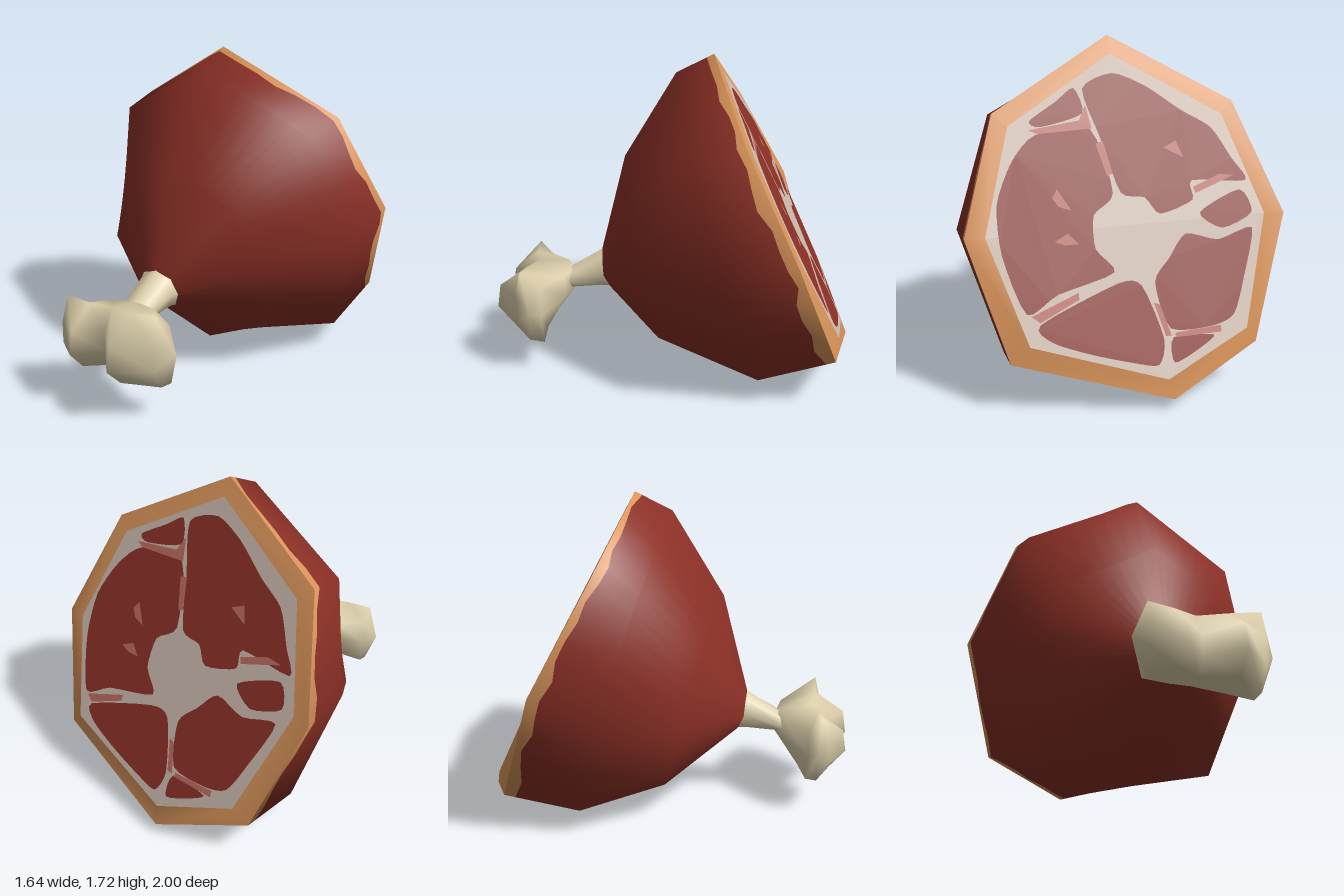
import * as THREE from 'three';
import { mergeVertices } from 'three/addons/utils/BufferGeometryUtils.js';

const mat = (name, color) => Object.assign(new THREE.MeshStandardMaterial({ color }), { name });
const V = (p) => new THREE.Vector3(...p);

// Skin closed rings of points together, ring after ring
function loft(rings) {
  const n = rings[0].length, index = [];
  for (let k = 0; k < rings.length - 1; k++) {
    for (let i = 0; i < n; i++) {
      const a = k * n + i, b = k * n + (i + 1) % n;
      index.push(a, a + n, b, b, a + n, b + n);
    }
  }
  const g = new THREE.BufferGeometry();
  g.setAttribute('position', new THREE.Float32BufferAttribute(rings.flat().flatMap((p) => [p.x, p.y, p.z]), 3));
  g.setIndex(index);
  g.computeVertexNormals();
  return g;
}

// Slanted plane of the cut
const cutZ = (y) => -0.64 + 0.482 * (y - 0.82);

// Flat plate lying on the cut, outlined in x and y, facing backwards
function cutPlate(points, lift, rounded) {
  const pts = points.map(([x, y]) => new THREE.Vector2(-x, y));
  let outline = pts;
  if (rounded) {
    const curve = new THREE.CatmullRomCurve3(pts.map((p) => new THREE.Vector3(p.x, p.y, 0)), true, 'catmullrom', 0.35);
    outline = curve.getPoints(pts.length * 4).slice(0, -1).map((p) => new THREE.Vector2(p.x, p.y));
  }
  const g = new THREE.ShapeGeometry(new THREE.Shape(outline));
  g.rotateY(Math.PI);
  const pos = g.attributes.position;
  for (let i = 0; i < pos.count; i++) pos.setZ(i, cutZ(pos.getY(i)) - lift);
  g.computeVertexNormals();
  return g;
}

export function createModel() {
  const meat = mat('meat red', 0x8b3026);
  const rind = mat('rind orange', 0xd9945a);
  const fat = mat('pale fat', 0xcbb9ad);
  const vein = mat('vein pink', 0xb86a60);
  const bone = mat('bone cream', 0xdccfab);

  const model = new THREE.Group();
  model.name = 'meatOnBone';
  const add = (name, geometry, material, parent = model) => {
    const mesh = new THREE.Mesh(geometry, material);
    mesh.name = name;
    parent.add(mesh);
  };

  // Eight-sided rings of the joint, from the cut rim forward to the bone
  const rim = [[0, 1.72, -0.2], [0.63, 1.38, -0.36], [0.82, 0.84, -0.62], [0.65, 0.27, -0.84],
    [-0.12, 0.06, -1], [-0.61, 0.23, -0.84], [-0.82, 0.84, -0.65], [-0.63, 1.38, -0.36]].map(V);
  const rings = [
    rim,
    [[0, 1.62, 0], [0.61, 1.32, -0.1], [0.81, 0.76, -0.24], [0.62, 0.14, -0.45],
      [-0.08, 0, -0.52], [-0.59, 0.14, -0.45], [-0.78, 0.8, -0.3], [-0.61, 1.32, -0.12]].map(V),
    [[0, 1.16, 0.28], [0.36, 0.98, 0.25], [0.44, 0.66, 0.22], [0.38, 0.25, 0.08],
      [0, 0.03, -0.08], [-0.38, 0.2, -0.02], [-0.58, 0.58, 0.06], [-0.4, 0.95, 0.18]].map(V),
    [[0, 0.61, 0.42], [0.09, 0.58, 0.41], [0.13, 0.5, 0.4], [0.09, 0.42, 0.37],
      [0, 0.39, 0.36], [-0.09, 0.42, 0.37], [-0.13, 0.5, 0.4], [-0.09, 0.58, 0.41]].map(V),
  ];
  const coarse = loft(rings).attributes.normal;
  const normals = rings.map((r, k) => r.map((_, i) => new THREE.Vector3().fromBufferAttribute(coarse, k * 8 + i)));

  // Finer rows so that the edge of the rind can be wavy
  const SUB = 6, N = 8 * SUB;
  const mix = (grid, k, t, j) => {
    const i = Math.floor(j / SUB), f = (j % SUB) / SUB, k2 = Math.min(k + 1, 3);
    const across = (r) => r[i].clone().lerp(r[(i + 1) % 8], f);
    return across(grid[k]).lerp(across(grid[k2]), t);
  };
  const wave = (j) => {
    const a = (j / N) * Math.PI * 2;
    return 0.16 + 0.04 * Math.sin(7 * a) + 0.04 * Math.sin(17 * a + 1);
  };
  const surface = (rows) => {
    const build = (grid) => rows.map(([k, wavy]) =>
      Array.from({ length: N }, (_, j) => mix(grid, k, wavy ? wave(j) : 0, j)));
    const g = loft(build(rings));
    const ns = build(normals).flat();
    ns.forEach((v, i) => { v.normalize(); g.attributes.normal.setXYZ(i, v.x, v.y, v.z); });
    return g;
  };
  add('rindBand', surface([[0, false], [0, true]]), rind);
  add('meatBody', surface([[0, true], [1, false], [2, false], [3, false]]), meat);

  // Cut face: rind lip, fat, red muscles and pink veins
  const cut = new THREE.Group();
  cut.name = 'cutFace';
  model.add(cut);
  const inner = [[0, 1.63], [0.56, 1.32], [0.72, 0.84], [0.56, 0.36], [-0.1, 0.15], [-0.54, 0.33], [-0.72, 0.84], [-0.56, 1.32]];
  add('rindLip', loft([inner.map(([x, y]) => new THREE.Vector3(x, y, cutZ(y))), rim]), rind, cut);
  add('fatDisc', cutPlate(inner, 0, false), fat, cut);

  const muscles = [
    [[0.165, 1.475], [0, 1.54], [-0.17, 1.47], [-0.34, 1.35], [-0.49, 1.26], [-0.58, 1.11], [-0.64, 1],
      [-0.35, 1.02], [-0.34, 0.93], [-0.16, 0.88], [-0.09, 0.96], [0.03, 0.99], [0.1, 1.24]],
    [[0.43, 1.275], [0.15, 1.29], [0.07, 0.99], [0.18, 0.9], [0.19, 0.75], [0.11, 0.64], [0.4, 0.57],
      [0.56, 0.5], [0.65, 0.76], [0.65, 0.98], [0.56, 1.16]],
    [[0.45, 1.34], [0.31, 1.42], [0.21, 1.48], [0.18, 1.36], [0.4, 1.31]],
    [[-0.37, 0.87], [-0.6, 0.96], [-0.65, 0.85], [-0.48, 0.79]],
    [[-0.09, 0.58], [-0.18, 0.68], [-0.28, 0.78], [-0.45, 0.74], [-0.64, 0.78], [-0.56, 0.56], [-0.48, 0.4],
      [-0.36, 0.36], [-0.14, 0.37]],
    [[0.5, 0.45], [0.1, 0.59], [-0.02, 0.57], [-0.1, 0.33], [-0.06, 0.22], [0.06, 0.24], [0.27, 0.3], [0.45, 0.37]],
    [[-0.15, 0.33], [-0.36, 0.32], [-0.28, 0.27], [-0.14, 0.22]],
  ];
  muscles.forEach((m, i) => add('muscle' + (i + 1), cutPlate(m, 0.004, true), meat, cut));

  const veins = [
    [[0.46, 1.3], [0.2, 1.33], [0.16, 1.4], [0.14, 1.29], [0.42, 1.28]],
    [[0.09, 1.23], [0.13, 1.22], [0.09, 1.07], [0.06, 1.08]],
    [[0.38, 0.99], [0.35, 1.03], [0.29, 0.93], [0.35, 0.95]],
    [[0.39, 0.8], [0.32, 0.83], [0.27, 0.78], [0.34, 0.78]],
    [[-0.22, 1.18], [-0.29, 1.21], [-0.32, 1.13], [-0.28, 1.15]],
    [[-0.35, 0.99], [-0.5, 1.04], [-0.58, 1.03], [-0.36, 0.96]],
    [[0.54, 0.49], [0.3, 0.57], [0.3, 0.54], [0.5, 0.46]],
    [[-0.07, 0.49], [-0.1, 0.48], [-0.14, 0.34], [-0.11, 0.34]],
    [[-0.16, 0.35], [-0.4, 0.36], [-0.4, 0.33], [-0.16, 0.33]],
  ];
  veins.forEach((v, i) => add('vein' + (i + 1), cutPlate(v, 0.007, false), vein, cut));

  // Bone shaft, rings along z
  const shaft = [[0.3, 0.5, 0.12, 0.115], [0.42, 0.5, 0.11, 0.112], [0.6, 0.44, 0.095, 0.055], [0.74, 0.4, 0.1, 0.1]]
    .map(([z, y, rx, ry]) => Array.from({ length: 8 }, (_, i) => {
      const a = (i / 8) * Math.PI * 2;
      return new THREE.Vector3(rx * Math.sin(a), y + ry * Math.cos(a), z);
    }));
  add('boneShaft', loft(shaft), bone);

  // Two-lobed knuckle: cross-sections along x, each a loop of z, y pairs
  const tip = (z, y) => Array(7).fill([z, y]);
  const knuckle = [
    [-0.33, tip(0.8, 0.37)],
    [-0.26, [[0.75, 0.33], [0.74, 0.2], [0.8, 0.19], [0.87, 0.3], [0.86, 0.44], [0.82, 0.55], [0.75, 0.47]]],
    [-0.12, [[0.62, 0.38], [0.72, 0.2], [0.88, 0.21], [0.97, 0.31], [0.95, 0.43], [0.81, 0.54], [0.63, 0.49]]],
    [0, [[0.57, 0.39], [0.7, 0.21], [0.8, 0.22], [0.84, 0.31], [0.84, 0.42], [0.78, 0.535], [0.58, 0.49]]],
    [0.15, [[0.61, 0.38], [0.72, 0.19], [0.9, 0.21], [1, 0.31], [0.98, 0.44], [0.82, 0.555], [0.62, 0.5]]],
    [0.32, [[0.72, 0.33], [0.71, 0.178], [0.79, 0.19], [0.85, 0.3], [0.86, 0.45], [0.83, 0.585], [0.72, 0.5]]],
    [0.4, tip(0.77, 0.38)],
  ].map(([x, loop]) => loop.map(([z, y]) => new THREE.Vector3(x, y, z)));
  const knob = loft(knuckle);
  knob.deleteAttribute('normal');
  const merged = mergeVertices(knob);
  merged.computeVertexNormals();
  add('boneKnuckle', merged, bone);

  return model;
}
